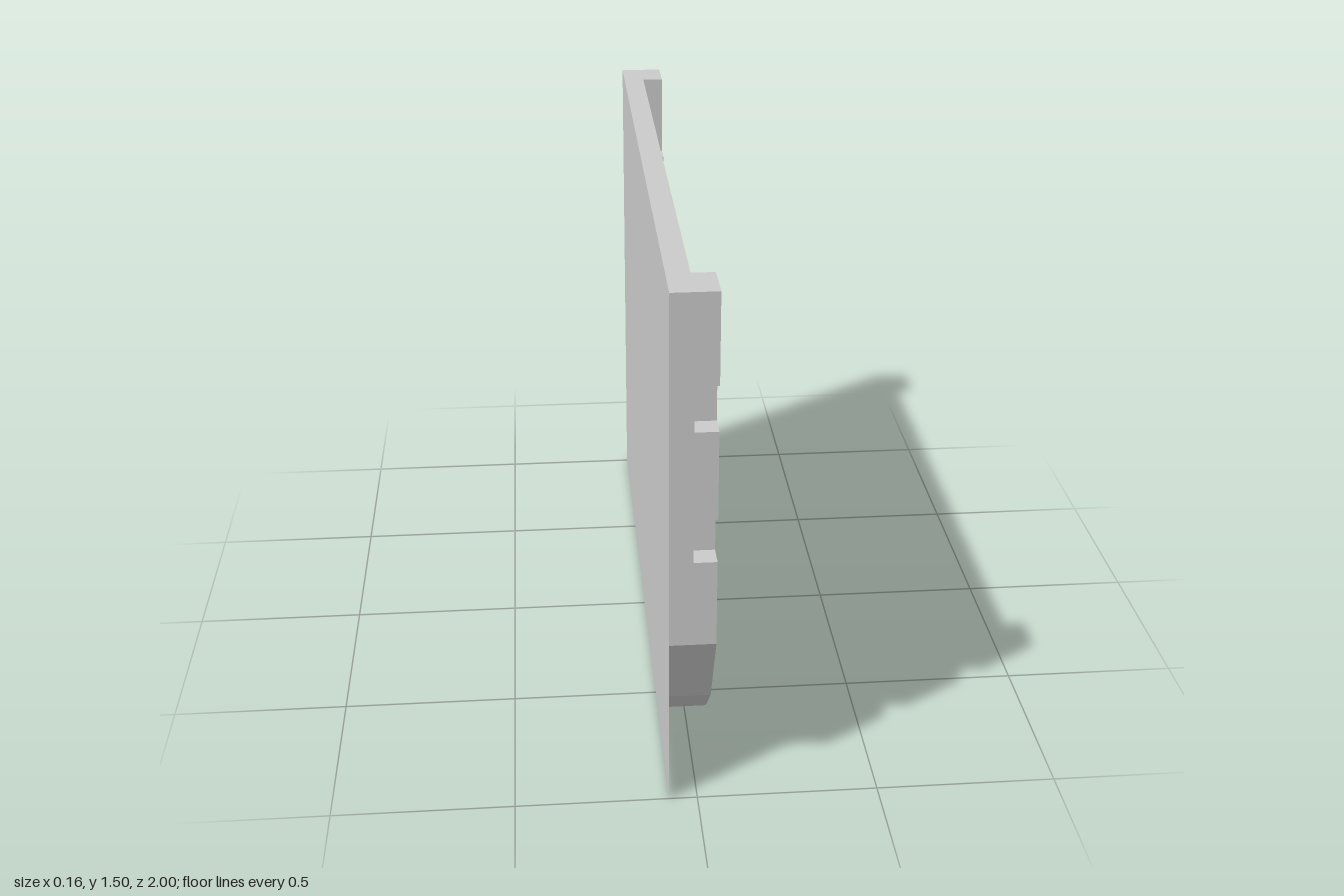
import * as THREE from 'three';

// depth levels along x: back sheet, panel face, frame face, knob face
const BACK = -0.078, FACE = -0.0155, RIM = 0.047, KNOB = 0.078;

const material = new THREE.MeshStandardMaterial({ color: 0xcccccc, flatShading: true });
const sheetMaterial = new THREE.MeshStandardMaterial({ color: 0xcccccc, side: THREE.DoubleSide });

const toPoints = (list) => list.map(([u, v]) => new THREE.Vector2(u, v));
const mirrored = (half) => [...half, ...half.map(([u, v]) => [-u, v]).reverse()];

// extrudes an outline drawn in the side plane from x0 to x1
function slab(name, outline, x0, x1, hole) {
  const shape = new THREE.Shape(toPoints(outline));
  if (hole) shape.holes.push(new THREE.Path(toPoints(hole)));
  const geometry = new THREE.ExtrudeGeometry(shape, { depth: x1 - x0, bevelEnabled: false });
  geometry.rotateY(Math.PI / 2).translate(x0, 0, 0);
  const mesh = new THREE.Mesh(geometry, material);
  mesh.name = name;
  return mesh;
}

function block(name, x0, x1, y0, y1, z0, z1) {
  const mesh = new THREE.Mesh(new THREE.BoxGeometry(x1 - x0, y1 - y0, z1 - z0), material);
  mesh.position.set((x0 + x1) / 2, (y0 + y1) / 2, (z0 + z1) / 2);
  mesh.name = name;
  return mesh;
}

// triangular pull with a tented top bar, an open middle and a knob below
function createHandle(z) {
  const handle = new THREE.Group();
  handle.name = 'handle';
  const outline = mirrored([[0.0625, 0.8], [0.1875, 1.0], [0.0625, 1.0625]]);
  const opening = mirrored([[0.04, 0.87], [0.125, 1.0]]);
  handle.add(slab('handleLoop', outline, FACE, RIM, opening));
  handle.add(block('handleKnob', FACE, KNOB, 0.785, 0.907, -0.0625, 0.0625));
  handle.position.z = z;
  return handle;
}

export function createModel() {
  const model = new THREE.Group();
  model.name = 'panelDoor';

  // full rectangular back sheet
  const sheet = new THREE.Mesh(new THREE.PlaneGeometry(2, 1.5).rotateY(Math.PI / 2), sheetMaterial);
  sheet.position.set(BACK, 0.75, 0);
  sheet.name = 'backSheet';
  model.add(sheet);

  // thick panel with cut lower corners
  const outer = [[0.5, 0], [0.75, 0.125], [0.875, 0.25], [1, 0.5]];
  const inner = [[0.875, 0.5], [0.78, 0.345], [0.66, 0.22], [0.5, 0.125]];
  model.add(slab('panel', mirrored([...outer, [1, 1.5]]), BACK, FACE));

  // raised U-shaped rim
  const rim = mirrored([...outer, [1, 0.75], [0.875, 0.75], ...inner]);
  // order the loop: right outer, right inner, left inner, left outer
  model.add(slab('lowerRim', rim, BACK, RIM));

  // upper rim posts with offset clips in the gaps
  for (const s of [-1, 1]) {
    const span = (a, b) => (s > 0 ? [a, b] : [-b, -a]);
    for (const [y0, y1] of [[0.875, 1.125], [1.25, 1.5]])
      model.add(block('rimPost', BACK, RIM, y0, y1, ...span(0.875, 1)));
    for (const y of [0.75, 1.125])
      model.add(block('clip', FACE, RIM, y, y + 0.125, ...span(0.8125, 0.9375)));
  }

  for (const z of [-0.25, 0.25]) model.add(createHandle(z));
  return model;
}
